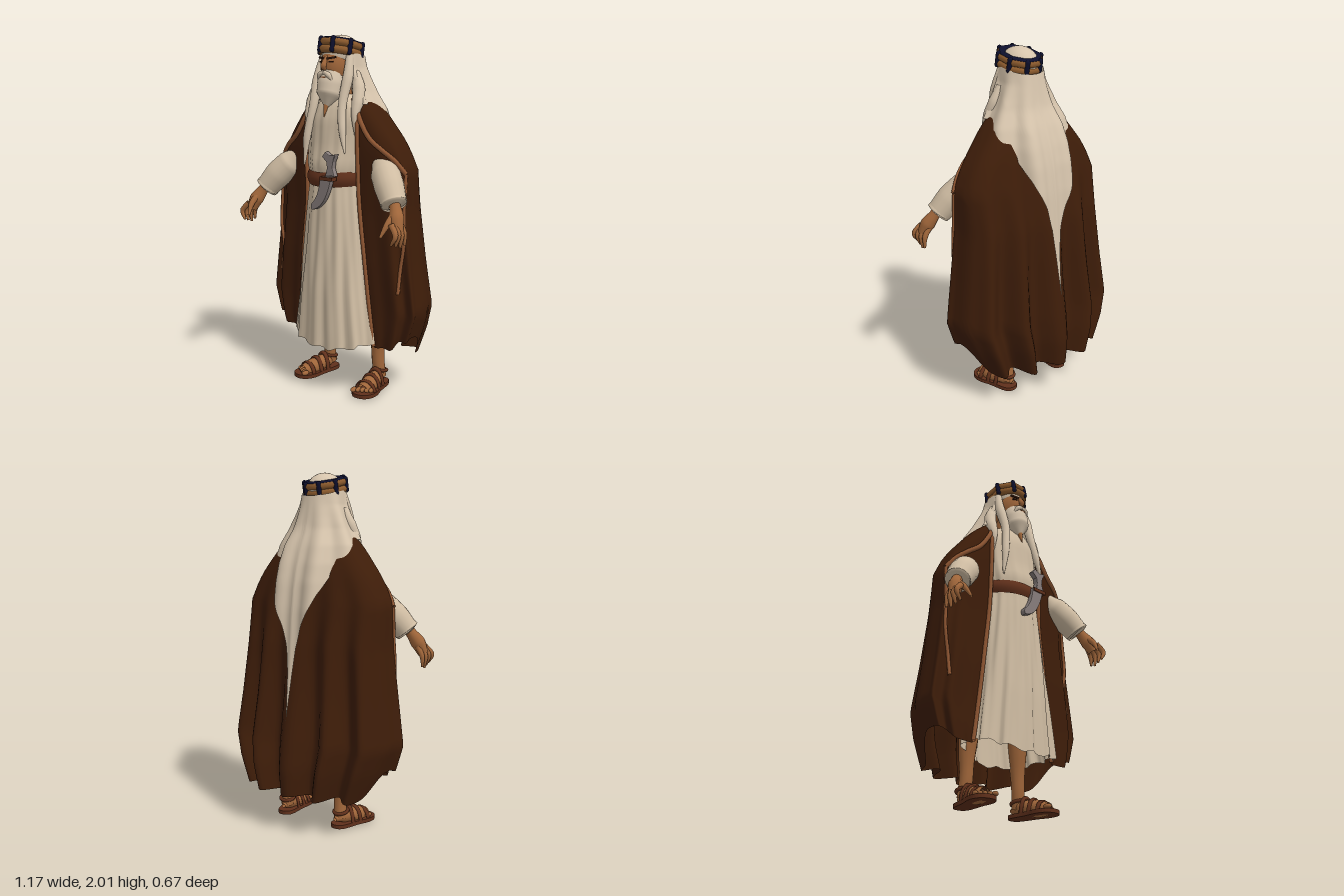
import * as THREE from 'three';
import { mergeVertices } from 'three/addons/utils/BufferGeometryUtils.js';

const mat = (name, color) => {
  const m = new THREE.MeshStandardMaterial({ color, side: THREE.DoubleSide });
  m.name = name;
  return m;
};
const V = (x, y, z) => new THREE.Vector3(x, y, z);

// Linear lookup in rows of [y, value, value...] sorted from high y to low y
function at(keys, y) {
  let i = 0;
  while (i < keys.length - 2 && y < keys[i + 1][0]) i++;
  const a = keys[i], b = keys[i + 1];
  const t = THREE.MathUtils.clamp((a[0] - y) / (a[0] - b[0]), 0, 1);
  return a.slice(1).map((v, k) => v + (b[k + 1] - v) * t);
}

// Surface from f(u, v) with u across and v downwards
function sheet(nu, nv, f, closed = false) {
  const pos = [], idx = [], w = closed ? nu : nu + 1;
  for (let j = 0; j <= nv; j++) for (let i = 0; i < w; i++) pos.push(...f(i / nu, j / nv));
  for (let j = 0; j < nv; j++) for (let i = 0; i < nu; i++) {
    const a = j * w + i, b = j * w + (i + 1) % w, c = a + w, d = b + w;
    idx.push(a, c, b, b, c, d);
  }
  const g = new THREE.BufferGeometry();
  g.setAttribute('position', new THREE.Float32BufferAttribute(pos, 3));
  g.setIndex(idx);
  g.computeVertexNormals();
  return g;
}

// Tube whose radius follows a list of values
function taper(points, radii, n = 16, m = 12) {
  const curve = new THREE.CatmullRomCurve3(points.map(p => V(...p)));
  let g = new THREE.TubeGeometry(curve, n, 1, m);
  const p = g.attributes.position, q = new THREE.Vector3();
  for (let i = 0; i <= n; i++) {
    const c = curve.getPointAt(i / n), f = i / n * (radii.length - 1), k = Math.min(Math.floor(f), radii.length - 2);
    const r = radii[k] + (radii[k + 1] - radii[k]) * (f - k);
    for (let j = 0; j <= m; j++) {
      const id = i * (m + 1) + j;
      q.fromBufferAttribute(p, id).sub(c).multiplyScalar(r).add(c);
      p.setXYZ(id, q.x, q.y, q.z);
    }
  }
  g.deleteAttribute('uv');
  g.deleteAttribute('normal');
  g = mergeVertices(g, 1e-5);
  g.computeVertexNormals();
  return g;
}

// Cloak cross-section: angle 0 is the back, +-PI the front edges
// rows: y, outer half width, back z, front edge x, front z
const CLOAK = [[1.69, .14, -.02, .1, .09], [1.64, .205, -.06, .15, .12], [1.6, .245, -.09, .165, .13], [1.55, .285, -.115, .18, .14],
  [1.45, .365, -.145, .19, .145], [1.38, .41, -.16, .19, .145], [1.28, .455, -.185, .19, .14], [1.05, .455, -.24, .195, .13],
  [.75, .485, -.28, .235, .13], [.5, .515, -.32, .26, .12], [.36, .47, -.34, .285, .12], [.2, .405, -.33, .29, .11]];
function cloakPoint(a, y) {
  const [rx, zb, xe, zf] = at(CLOAK, y), zc = .03, s = Math.sign(a), b = Math.abs(a), H = Math.PI / 2;
  const grow = THREE.MathUtils.smoothstep(1.6 - y, 0, 1.25);
  if (b <= H) {
    const c = Math.max(Math.cos(b), 0), n = Math.sin(b), fold = (1 - Math.cos(15 * n)) / 2 * (1 - n ** 10);
    return [s * rx * (Math.pow(n, .85) - .07 * fold * grow * n), y,
      zc - (zc - zb) * Math.pow(c, .6) + fold * .11 * grow * Math.min(1, c * 2.5)];
  }
  const d = b - H, ripple = .018 * grow * Math.sin(d * 9) * Math.cos(d);
  return [s * (xe + (rx - xe) * Math.max(Math.cos(d), 0) + ripple), y, zc + (zf - zc) * Math.pow(Math.sin(d), .65) + ripple];
}

export function createModel() {
  const M = {
    cloak: mat('dark brown cloth', 0x3e1d09), robe: mat('linen', 0xd0bda3), headcloth: mat('cream cloth', 0xd6c4ac),
    skin: mat('skin', 0xa0663a), trim: mat('copper trim', 0x8f5632), leather: mat('leather', 0x60301b),
    metal: mat('grey metal', 0x877d7b), navy: mat('navy cord', 0x0d0f2c), gold: mat('ochre cord', 0x8e5c2e), dark: mat('dark line', 0x33190d),
  };
  const root = new THREE.Group();
  const add = (name, geo, m, parent = root) => {
    const mesh = new THREE.Mesh(geo, m);
    mesh.name = name;
    parent.add(mesh);
    return mesh;
  };
  const ball = (name, m, p, s, parent = root) => {
    const o = add(name, new THREE.SphereGeometry(1, 24, 16), m, parent);
    o.position.set(...p);
    o.scale.set(...s);
  };

  // Robe: pleated skirt and soft torso; rows: y, half width, centre z, half depth
  const ROBE = [[1.68, .07, .07, .06], [1.64, .14, .07, .1], [1.55, .2, .06, .14], [1.4, .2, .06, .155], [1.3, .19, .07, .165],
    [1.22, .17, .075, .15], [1.1, .185, .08, .155], [.9, .21, .08, .165], [.6, .245, .08, .18], [.25, .295, .09, .175]];
  const robePoint = (a, y, fold) => {
    const [rx, zc, rz] = at(ROBE, y);
    const r = 1 + fold * (.6 * Math.cos(13 * a + 1.5 * Math.sin(y * 4)) + .4 * Math.cos(22 * a + 1));
    return [rx * r * Math.sin(a), y, zc + rz * r * Math.cos(a)];
  };
  add('robeSkirt', sheet(120, 24, (u, v) => {
    const a = u * Math.PI * 2, hem = .265 + .05 * Math.sin(a) ** 2 + .008 * Math.cos(13 * a);
    return robePoint(a, 1.23 + (hem - 1.23) * v, .03 + .04 * v);
  }, true), M.robe);
  add('robeTorso', sheet(80, 16, (u, v) => robePoint(u * Math.PI * 2, 1.68 - .46 * v, .03), true), M.robe);
  add('neckOpening', taper([[0, 1.68, .15], [0, 1.64, .18], [0, 1.56, .205]], [.024, .016, .002]), M.skin);

  // Belt and curved dagger
  add('belt', sheet(64, 6, (u, v) => {
    const a = u * Math.PI * 2, b = .012 * Math.sin(v * Math.PI);
    return [(.178 + b) * Math.sin(a), 1.275 - .08 * v - .015 * Math.cos(a), .075 + (.163 + b) * Math.cos(a)];
  }, true), M.leather);
  const dagger = new THREE.Group();
  dagger.name = 'dagger';
  root.add(dagger);
  const sheath = new THREE.Shape();
  sheath.moveTo(.025, 1.235);
  sheath.lineTo(.1, 1.25);
  sheath.quadraticCurveTo(.06, 1.07, -.04, 1.055);
  sheath.quadraticCurveTo(-.05, 1.07, -.04, 1.085);
  sheath.quadraticCurveTo(.015, 1.13, .025, 1.235);
  const bevel = { depth: .02, bevelSize: .004, bevelThickness: .006, bevelSegments: 2 };
  add('sheath', new THREE.ExtrudeGeometry(sheath, bevel), M.metal, dagger).position.z = .24;
  const hilt = new THREE.Shape([[.035, 1.35], [.055, 1.372], [.085, 1.355], [.125, 1.365], [.105, 1.325], [.1, 1.29], [.115, 1.25], [.055, 1.24], [.07, 1.29], [.065, 1.325]].map(p => new THREE.Vector2(...p)));
  add('hilt', new THREE.ExtrudeGeometry(hilt, bevel), M.metal, dagger).position.z = .232;
  add('sheathLoop', new THREE.BoxGeometry(.09, .02, .04), M.leather, dagger).position.set(.07, 1.232, .252);

  // Cloak with deep folds at the back; the hem rises in front of the sides
  add('cloak', sheet(168, 36, (u, v) => {
    const a = (u * 2 - 1) * Math.PI, b = Math.abs(a), back = b < Math.PI / 2, n = Math.sin(b);
    const hem = (back ? .21 + .15 * n ** 60 : .29 + .07 * n ** 4) + .01 * Math.cos(9 * b) * n;
    return cloakPoint(a, 1.69 + (hem - 1.69) * v);
  }), M.cloak);

  // Head, face and beard
  ball('head', M.skin, [0, 1.83, .095], [.085, .12, .1]);
  add('neck', new THREE.CylinderGeometry(.055, .07, .16, 20), M.skin).position.set(0, 1.71, .07);
  add('nose', taper([[0, 1.885, .18], [0, 1.85, .2], [0, 1.825, .208], [0, 1.815, .19]], [.008, .012, .017, .008]), M.skin);
  add('beard', taper([[0, 1.8, .125], [0, 1.75, .145], [0, 1.69, .16], [0, 1.615, .185]], [.066, .075, .07, .014], 20, 20), M.headcloth);
  add('mouth', new THREE.BoxGeometry(.035, .007, .008), M.trim).position.set(0, 1.773, .212);

  // Head cloth: dome, and back drape narrowing to a long point
  ball('headDome', M.headcloth, [0, 1.9, .06], [.1, .1, .12]);
  const DRAPE = [[1.92, .112, .125, .1], [1.82, .13, .145, .085], [1.75, .158, .16, .08], [1.69, .185, .175, .08], [1.6, .235, .22, .09],
    [1.5, .26, .258, .1], [1.4, .265, .285, .1], [1.25, .265, .308, .1], [.88, .27, .335, .1], [.62, .27, .368, .1]];
  const HEM = [[0, .64], [-.06, .9], [-.12, 1.04], [-.25, 1.17], [-.55, 1.34], [-.95, 1.49], [-1.3, 1.59], [-1.6, 1.63], [-2.2, 1.63]];
  add('headcloth', sheet(144, 30, (u, v) => {
    const a = (u * 2 - 1) * 2.15, b = Math.abs(a), y0 = 1.9 - .03 * Math.cos(a), hem = at(HEM, -b)[0];
    const y = y0 + (hem - y0) * v, [rx, rb, rf] = at(DRAPE, y), c = Math.cos(a);
    const r = 1 + .075 * Math.min(1, v * 2) * Math.min(1, b * 4) * (Math.cos(7.85 * (b - .42)) + .15);
    return [rx * r * Math.sin(a), y, .06 - Math.sign(c) * (c > 0 ? rb : rf) * r * Math.pow(Math.abs(c), .75)];
  }), M.headcloth);

  // Tilted cord ring
  const band = new THREE.Group();
  band.name = 'headband';
  band.position.set(0, 1.925, .063);
  band.rotation.x = -.2;
  root.add(band);
  const ring = (name, m, r, tube, y, flat) => {
    const o = add(name, new THREE.TorusGeometry(r, tube, 10, 8).rotateZ(Math.PI / 8).rotateX(Math.PI / 2), m, band);
    o.position.y = y;
    o.scale.set(.98, flat, 1.12);
  };
  ring('lowerCord', M.gold, .106, .023, -.023, 1);
  ring('upperCord', M.gold, .106, .023, .017, 1);
  ring('topCord', M.navy, .099, .021, .034, .5);
  for (let i = 0; i < 8; i++) {
    const a = (i + .5) * Math.PI / 4;
    const w = add('cordWrap', new THREE.CapsuleGeometry(.014, .064, 4, 10), M.navy, band);
    w.position.set(Math.sin(a) * .115, 0, Math.cos(a) * .131);
  }

  for (const s of [1, -1]) {
    const P = list => list.map(([x, y, z]) => [x * s, y, z]);
    // Eyes, brows and moustache
    const brow = add('brow', new THREE.BoxGeometry(.052, .01, .009), M.dark);
    brow.position.set(s * .036, 1.875, .183);
    brow.rotation.set(0, s * .4, s * .15);
    const eye = add('eye', new THREE.BoxGeometry(.028, .008, .008), M.dark);
    eye.position.set(s * .036, 1.855, .186);
    eye.rotation.y = s * .4;
    add('moustache', taper(P([[0, 1.797, .203], [.025, 1.79, .205], [.052, 1.75, .192]]), [.011, .015, .004]), M.headcloth);
    // Hanging front folds of the head cloth
    add('frontFold', taper(P([[.095, 1.89, .1], [.108, 1.78, .13], [.105, 1.62, .175], [.13, 1.46, .2], [.15, s > 0 ? 1.37 : 1.29, .205]]), [.02, .03, .024, .022, .005], 24), M.headcloth);
    add('shoulderFold', taper(P([[.115, 1.8, .075], [.15, 1.71, .09], [.165, 1.645, .115], [.17, 1.57, .145], [.175, 1.46, .15]]), [.024, .036, .034, .018, .003], 24), M.headcloth);

    // Cloak trim: front edge, shoulder arch and arm opening; pairs of [turn to front, y]
    const trim = (name, pairs, r) => add(name, new THREE.TubeGeometry(new THREE.CatmullRomCurve3(
      pairs.map(([t, y]) => V(...cloakPoint(s * Math.PI / 2 * (1 + t), y)).add(V(0, 0, .004)))), 48, r, 8), M.trim);
    trim('frontTrim', [[1, 1.66], [1, 1.55], [1, 1.4], [1, 1.1], [1, .8], [1, .5], [1, .3]], .012);
    trim('shoulderTrim', [[.98, 1.64], [.85, 1.54], [.7, 1.45], [.5, 1.395], [.28, 1.34], [.08, 1.27]], .014);
    trim('armOpeningTrim', [[.08, 1.27], [.13, 1.1], [.2, .9], [.33, .75], [.45, .62]], .01);

    // Sleeve, hand and fingers
    add('sleeve', taper(P([[.28, 1.345, .085], [.34, 1.285, .105], [.41, 1.21, .15], [.475, 1.125, .19]]), [.035, .08, .08, .068], 20, 18), M.robe);
    add('sleeveCuff', taper(P([[.463, 1.143, .184], [.478, 1.12, .192], [.48, 1.117, .193]]), [.07, .072, .03], 6, 18), M.robe);
    add('hand', taper(P([[.455, 1.17, .18], [.5, 1.1, .21], [.525, 1.05, .235], [.543, 1.0, .25]]), [.032, .03, .042, .03]), M.skin);
    for (let i = 0; i < 4; i++) {
      const z = .212 + i * .024;
      add('finger', taper(P([[.53, 1.04, z], [.558 + i * .004, .99, z + i * .006], [.562 - i * .006, .92 + .01 * Math.abs(i - 1), z + i * .007]]), [.017, .015, .007], 10, 8), M.skin);
    }
    add('thumb', taper(P([[.505, 1.085, .23], [.505, 1.04, .285], [.49, .975, .325]]), [.02, .017, .007], 10, 8), M.skin);

    // Leg, foot and sandal
    add('leg', taper(P([[.175, .5, -.03], [.185, .28, -.045], [.188, .15, -.045], [.195, .05, -.055]]), [.06, .052, .038, .036]), M.skin);
    const foot = new THREE.Group();
    foot.name = 'foot';
    foot.position.set(s * .205, 0, 0);
    foot.rotation.y = s * .17;
    root.add(foot);
    const sole = new THREE.Shape();
    sole.moveTo(0, -.11);
    sole.bezierCurveTo(.07, -.11, .045, -.02, .062, .06);
    sole.bezierCurveTo(.09, .15, .05, .2, 0, .2);
    sole.bezierCurveTo(-.055, .2, -.09, .15, -.062, .06);
    sole.bezierCurveTo(-.045, -.02, -.07, -.11, 0, -.11);
    add('sole', new THREE.ExtrudeGeometry(sole, { depth: .022, bevelEnabled: false, curveSegments: 10 }).rotateX(Math.PI / 2).translate(0, .022, 0), M.leather, foot);
    add('instep', taper([[0, .05, -.1], [0, .055, -.06], [0, .055, 0], [0, .042, .07], [0, .03, .15]], [.012, .038, .046, .048, .034]), M.skin, foot);
    for (let i = 0; i < 5; i++) ball('toe', M.skin, [s * (i - 2) * .023, .034, .165 - .009 * i + (i ? 0 : .005)], [i ? .012 : .016, .014, .025], foot);
    for (const [z, r, h] of [[.115, .06, .06], [.055, .056, .08], [0, .05, .095]]) {
      const strap = add('strap', new THREE.TorusGeometry(1, .12, 8, 20, Math.PI), M.leather, foot);
      strap.position.set(0, .015, z);
      strap.scale.set(r, h, .12);
    }
    const ankle = add('ankleStrap', new THREE.TorusGeometry(.04, .01, 8, 24).rotateX(Math.PI / 2 - .2), M.leather, foot);
    ankle.position.set(0, .09, -.052);
  }
  return root;
}
